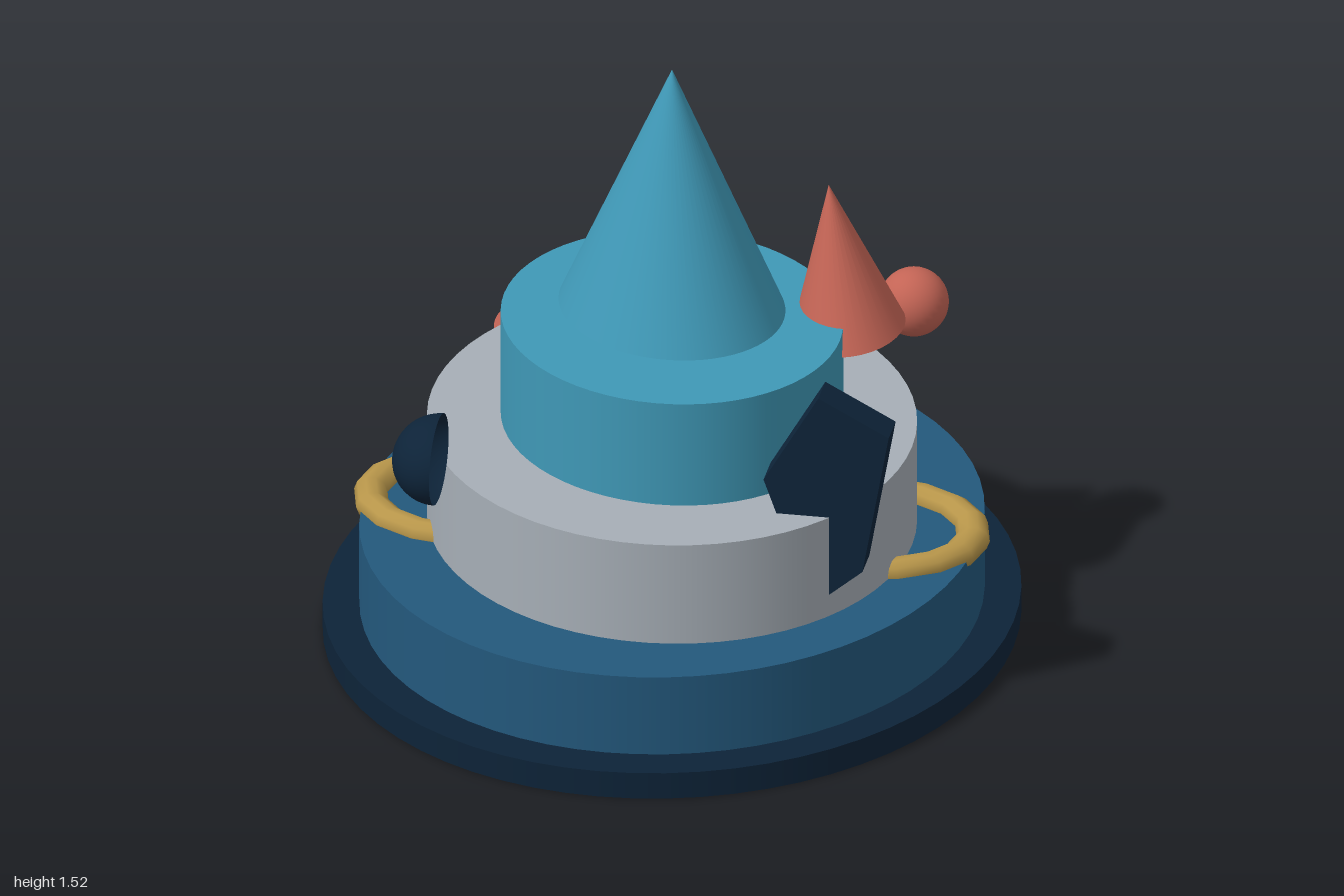
import * as THREE from 'three';

const mat = (name, color, side = THREE.FrontSide) => {
  const m = new THREE.MeshStandardMaterial({ color, side });
  m.name = name;
  return m;
};

export function createModel() {
  const model = new THREE.Group();
  model.name = 'tieredTower';
  const navy = mat('navy', 0x0d2338, THREE.DoubleSide);
  const blue = mat('blue', 0x23587c);
  const grey = mat('grey', 0xa6aeb6);
  const teal = mat('teal', 0x3f98b6);
  const red = mat('coral', 0xc36455, THREE.DoubleSide);
  const gold = mat('gold', 0xb8964a, THREE.DoubleSide);

  const add = (name, geometry, material, x = 0, y = 0, z = 0) => {
    const mesh = new THREE.Mesh(geometry, material);
    mesh.name = name;
    mesh.position.set(x, y, z);
    model.add(mesh);
    return mesh;
  };

  // Oval tiers, each turned a little more than the one below
  const oval = 0.86;
  const tiers = [
    ['basePlate', 1.0, 0, 0.07, 0, navy],
    ['lowerTier', 0.895, 0.07, 0.283, 0, blue],
    ['middleTier', 0.705, 0.283, 0.555, 15, grey],
    ['upperTier', 0.488, 0.555, 0.835, 25, teal],
  ];
  for (const [name, r, y0, y1, turn, material] of tiers) {
    const tier = add(name, new THREE.CylinderGeometry(r, r, y1 - y0, 64), material, 0, (y0 + y1) / 2, 0);
    tier.scale.x = oval;
    tier.rotation.y = THREE.MathUtils.degToRad(turn);
  }

  // Roof cone hovering just above the top tier
  const roof = add('roofCone', new THREE.ConeGeometry(0.318, 0.65, 64), teal, 0, 1.195, 0);
  roof.scale.x = oval;
  roof.rotation.y = THREE.MathUtils.degToRad(34);

  // Small leaning cone and ball
  const lean = new THREE.ConeGeometry(0.18, 0.39, 32);
  lean.scale(0.79, 1, 1);
  lean.rotateY(0.2);
  add('leaningCone', lean, red, 0.39, 0.962, -0.16).rotation.z = 0.13;
  add('ball', new THREE.SphereGeometry(0.087, 32, 20), red, 0.54, 0.745, -0.37);

  // Flat disc sticking out of the middle tier at the back
  add('backDisc', new THREE.CircleGeometry(0.225, 48), red, -0.32, 0.515, -0.537).rotation.x = -Math.PI / 2;

  // Open half dome, its rim facing inward
  const dome = new THREE.SphereGeometry(1, 32, 16, 0, Math.PI * 2, 0, Math.PI / 2);
  dome.rotateZ(Math.PI / 2);
  dome.scale(0.115, 0.11, 0.133);
  add('halfDome', dome, navy, -0.5, 0.625, 0.468);

  // Irregular five-sided slab
  const outline = [[0.456, 0.882], [0.633, 0.788], [0.567, 0.412], [0.44, 0.305], [0.318, 0.645]];
  const shape = new THREE.Shape(outline.map(([x, y]) => new THREE.Vector2(x, y)));
  add('slab', new THREE.ExtrudeGeometry(shape, { depth: 0.095, bevelEnabled: false }), navy, 0, 0, 0.375);

  // Looped handles on both sides
  for (const side of [1, -1]) {
    const loop = new THREE.TorusGeometry(0.225, 0.036, 10, 8, Math.PI);
    loop.rotateZ(-Math.PI / 2);
    loop.rotateX(Math.PI / 2);
    loop.scale(1.17, 1, 1);
    const handle = add(side > 0 ? 'leftHandle' : 'rightHandle', loop, gold, side * 0.495, 0.287, 0);
    if (side < 0) handle.rotation.y = Math.PI;
  }
  return model;
}
